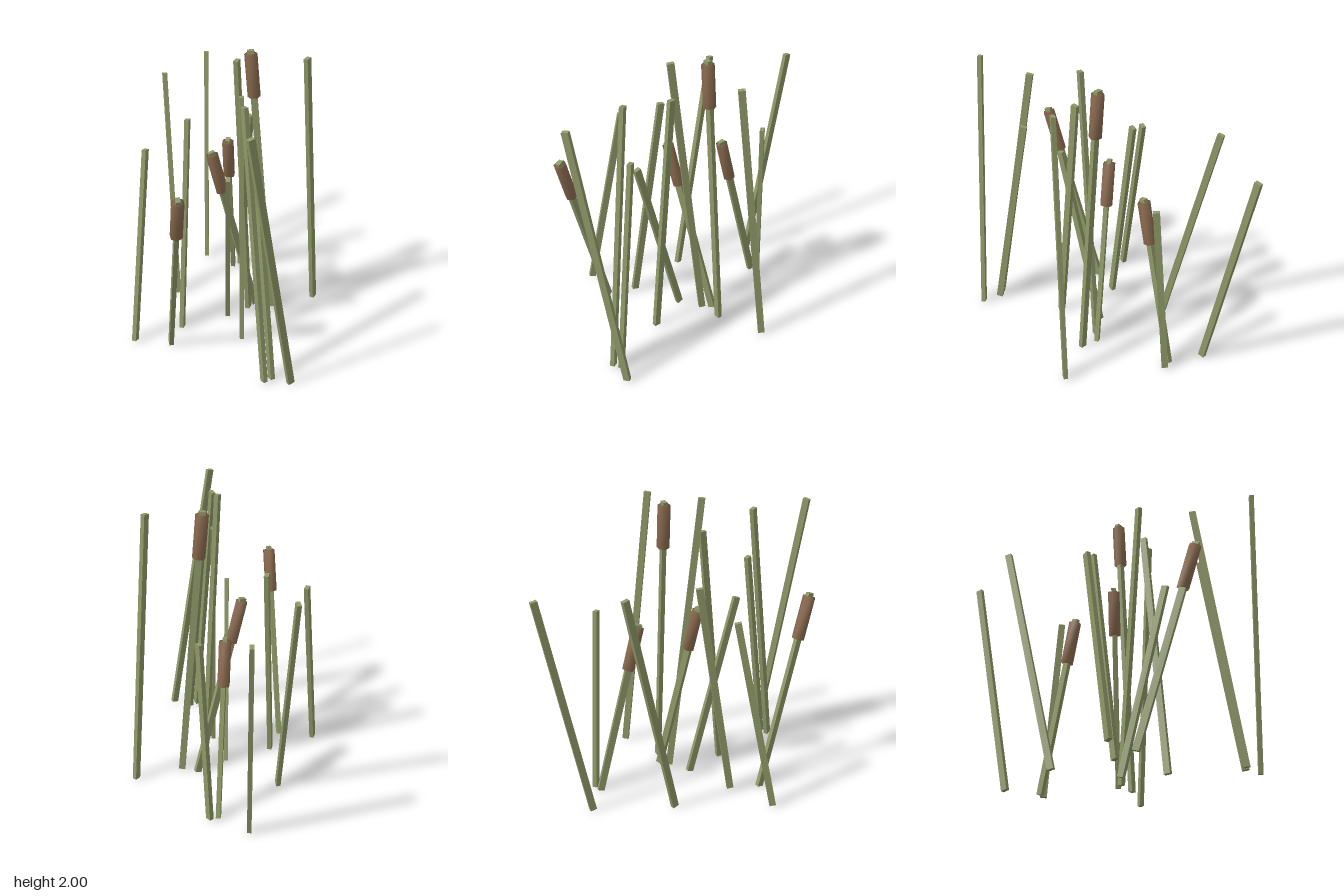
import * as THREE from 'three';
import { mergeVertices } from 'three/addons/utils/BufferGeometryUtils.js';

const STALK_WIDTH = 0.03, STALK_DEPTH = 0.045;
const HEAD_RADIUS = 0.043, HEAD_LENGTH = 0.3, TIP_LENGTH = 0.024;

// Each reed: base x, base z, tip x, tip z, tip height
const LEAVES = [
  [-0.6, -0.545, -0.785, -0.81, 1.58],
  [-0.465, -0.01, -0.735, -0.255, 1.605],
  [-0.17, 0.325, -0.25, 0.117, 1.515],
  [-0.338, 0.64, -0.395, 0.385, 1.36],
  [0.375, -0.543, 0.375, -0.345, 1.94],
  [-0.315, -0.598, -0.222, -0.574, 1.3],
  [0.068, -0.15, 0.113, 0.07, 2.0],
  [0.0, 0.01, 0.205, 0.296, 1.285],
  [0.247, 0.187, 0.15, 0.068, 1.76],
  [0.665, 0.443, 0.447, 0.338, 1.49],
  [0.643, 0.497, 0.385, 0.374, 1.86],
  [0.792, 0.407, 0.663, 0.713, 1.86],
];
const CATTAILS = [
  [0.19, -0.257, 0.054, -0.167, 1.98],
  [0.077, -0.223, -0.083, 0.083, 1.31],
  [-0.353, -0.553, -0.217, -0.292, 1.22],
  [-0.115, 0.522, 0.194, 0.792, 1.355],
];

// Six-sided seed head, shaded softly around its rims
function headGeometry() {
  const g = new THREE.CylinderGeometry(HEAD_RADIUS, HEAD_RADIUS, HEAD_LENGTH, 6);
  g.deleteAttribute('normal');
  g.deleteAttribute('uv');
  const merged = mergeVertices(g, 1e-4);
  merged.computeVertexNormals();
  return merged;
}

export function createModel() {
  const model = new THREE.Group();
  model.name = 'reeds';
  const green = new THREE.MeshStandardMaterial({ name: 'reedGreen', color: 0x8f9868 });
  const brown = new THREE.MeshStandardMaterial({ name: 'seedBrown', color: 0x8b6b50 });
  const headGeo = headGeometry();

  // A leaning square stalk whose deeper side follows the lean
  function addReed([bx, bz, tx, tz, height], name) {
    const base = new THREE.Vector3(bx, 0.004, bz);
    const axis = new THREE.Vector3(tx, height - 0.004, tz).sub(base);
    const length = axis.length();
    const reed = new THREE.Group();
    reed.name = name;
    reed.position.copy(base);
    reed.rotation.order = 'YXZ';
    reed.rotation.y = Math.atan2(axis.x, axis.z);
    reed.rotation.x = Math.acos(axis.y / length);

    const stalk = new THREE.Mesh(new THREE.BoxGeometry(STALK_WIDTH, length, STALK_DEPTH), green);
    stalk.name = 'stalk';
    stalk.position.y = length / 2;
    reed.add(stalk);
    model.add(reed);
    return { reed, length };
  }

  LEAVES.forEach((r) => addReed(r, 'plainReed'));

  CATTAILS.forEach((r) => {
    const { reed, length } = addReed(r, 'cattail');
    const head = new THREE.Mesh(headGeo, brown);
    head.name = 'seedHead';
    head.position.y = length - TIP_LENGTH - HEAD_LENGTH / 2;
    reed.add(head);
  });

  return model;
}
